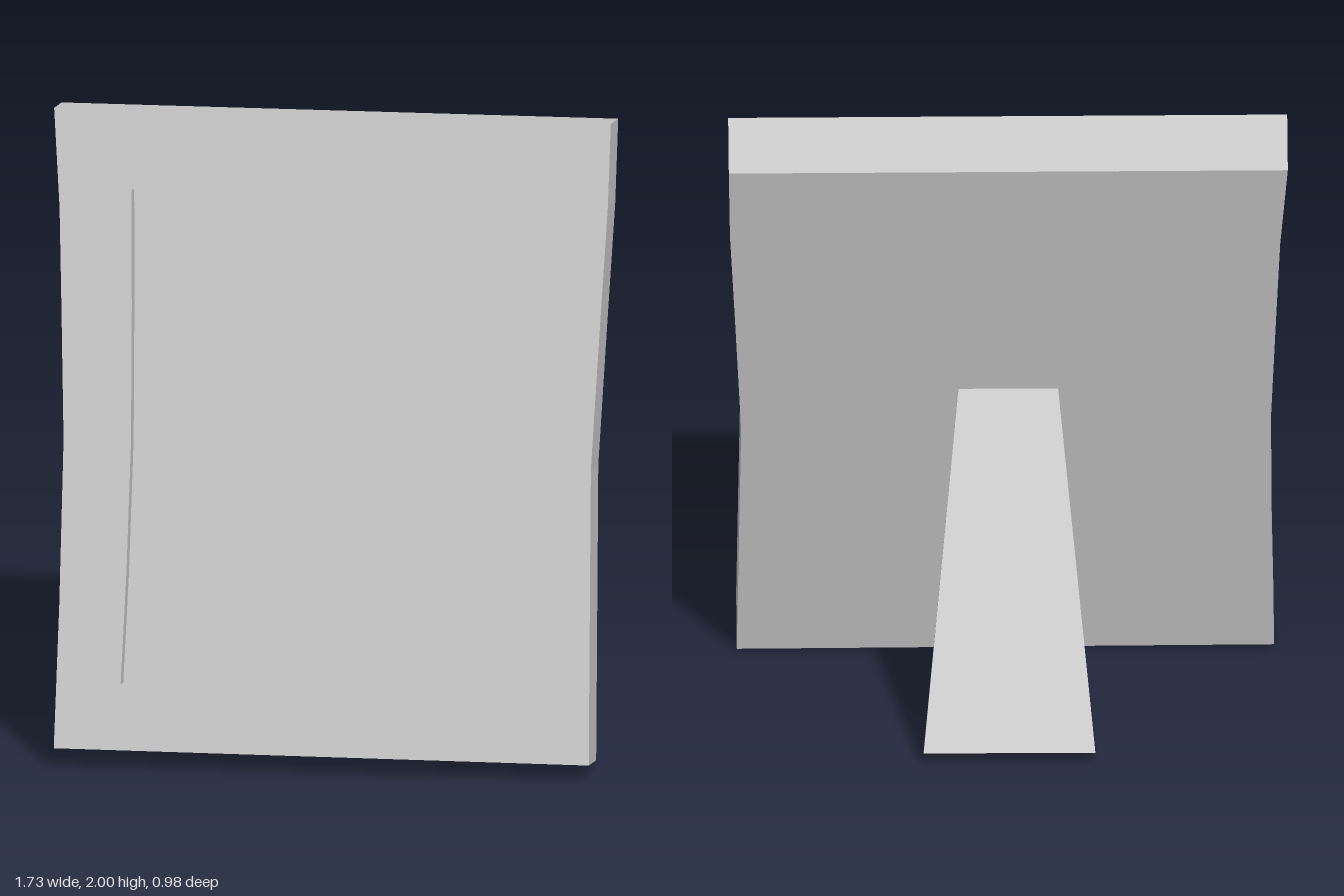
import * as THREE from 'three';

const TILT = 0.2206;      // backward lean of the frame
const THICK = 0.255;      // frame thickness
const RECESS = 0.09;      // depth of the picture recess
const FRONT_BASE = THICK * Math.sin(TILT);

// Outlines as [x, height of the front face], counter-clockwise from bottom left
const OUTER = [
  [-0.826, 0.068], [0.832, 0.058], [0.826, 0.5], [0.82, 0.95], [0.84, 1.4],
  [0.856, 1.74], [0.86, 1.995], [-0.865, 2.0], [-0.842, 1.7], [-0.83, 1.4],
  [-0.815, 1.0], [-0.818, 0.5],
];
const OPENING = [
  [-0.623, 0.265], [0.662, 0.225], [0.655, 0.6], [0.65, 0.92], [0.662, 1.4],
  [0.68, 1.82], [-0.62, 1.76], [-0.612, 1.4], [-0.606, 1.0], [-0.612, 0.6],
];

// Convert upright heights to lengths along the leaning face
const toFace = (pts) =>
  pts.map(([x, y]) => new THREE.Vector2(x, (y - FRONT_BASE) / Math.cos(TILT)));

const extrude = (shape, depth) =>
  new THREE.ExtrudeGeometry(shape, { depth, bevelEnabled: false });

// Box whose corners follow a side profile, with a half width for each corner
function taperedLeg(profile, centreX) {
  const geo = new THREE.BoxGeometry(1, 1, 1);
  const p = geo.attributes.position;
  for (let i = 0; i < p.count; i++) {
    const end = p.getY(i) > 0 ? 'top' : 'foot';
    const side = p.getZ(i) > 0 ? 0 : 1; // 0 = underside, 1 = upper face
    const [z, y, half] = profile[end][side];
    p.setXYZ(i, centreX + Math.sign(p.getX(i)) * half, y, z);
  }
  geo.computeVertexNormals();
  return geo;
}

export function createModel() {
  const model = new THREE.Group();
  model.name = 'pictureFrame';
  const material = new THREE.MeshStandardMaterial({ color: 0xcccccc, flatShading: true });
  const add = (parent, name, geometry) => {
    const mesh = new THREE.Mesh(geometry, material);
    mesh.name = name;
    parent.add(mesh);
  };

  // Leaning frame with a slightly warped outline and opening
  const body = new THREE.Group();
  body.name = 'frameBody';
  body.rotation.x = -TILT;
  body.position.z = 0.241;
  model.add(body);

  const border = new THREE.Shape(toFace(OUTER));
  border.holes.push(new THREE.Path(toFace(OPENING)));
  add(body, 'border', extrude(border, THICK));

  // Panel filling the opening up to the recess floor
  add(body, 'picturePanel', extrude(new THREE.Shape(toFace(OPENING)), THICK - RECESS));

  // Rear prop, wider at the foot; its top is sunk slightly into the frame
  add(model, 'standLeg', taperedLeg({
    top: [[0.05, 0.972, 0.158], [0.02, 1.092, 0.15]],
    foot: [[-0.415, 0.005, 0.265], [-0.49, 0.045, 0.265]],
  }, -0.004));

  return model;
}
